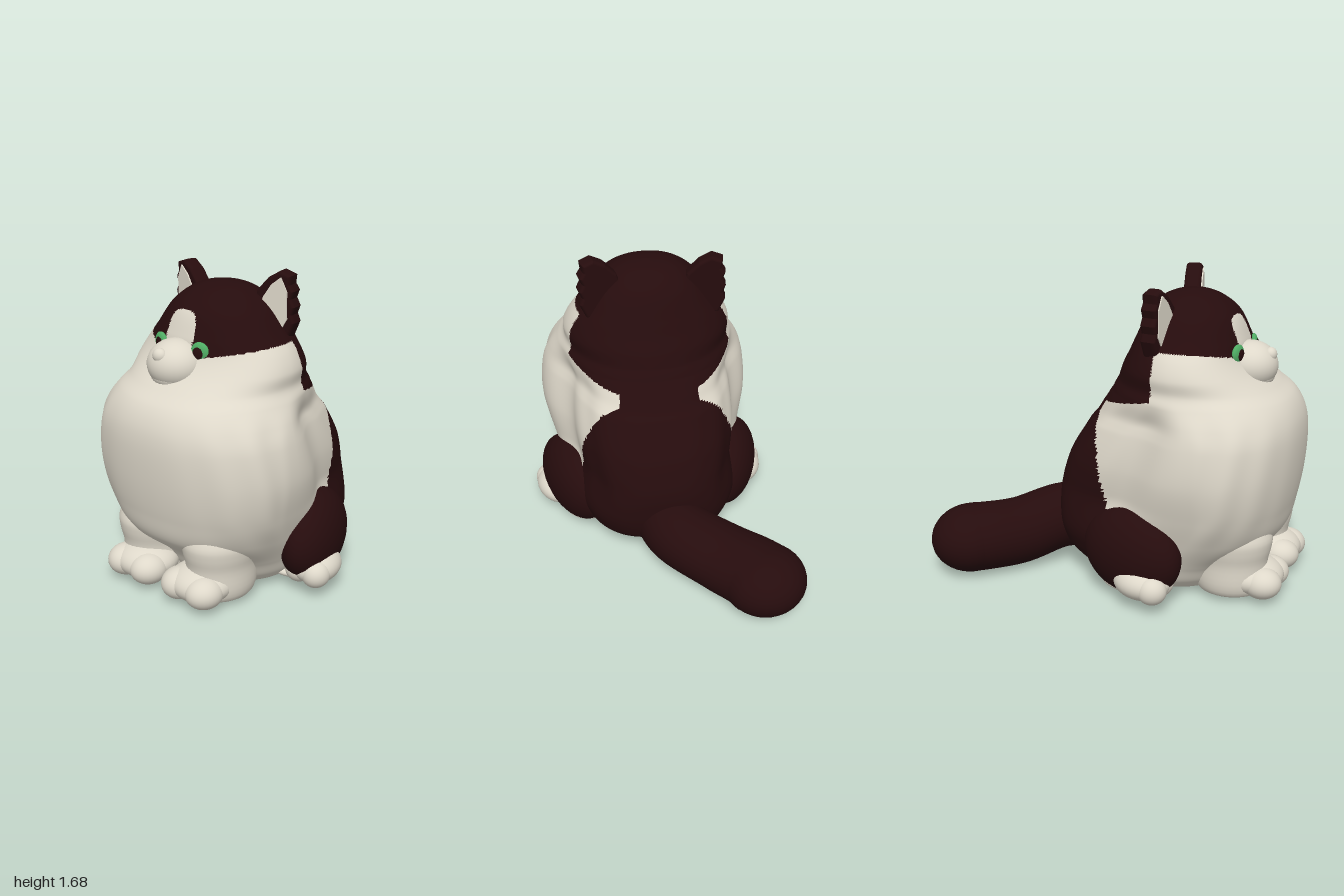
import * as THREE from 'three';

const { lerp, smoothstep } = THREE.MathUtils;
const mat = (name, color) => {
  const m = new THREE.MeshStandardMaterial({ color });
  m.name = name;
  return m;
};

// Closed-ring surface: point(u, angle) for u in 0..1; pick(centroid) chooses a material index.
function loft(point, nu, nv, pick = () => 0) {
  const pos = [], faces = [[], []], p = [];
  for (let i = 0; i <= nu; i++) {
    for (let j = 0; j < nv; j++) {
      const v = point(i / nu, (j / nv) * Math.PI * 2);
      p.push(v);
      pos.push(v.x, v.y, v.z);
    }
  }
  const add = (a, b, c) => {
    const mid = p[a].clone().add(p[b]).add(p[c]).divideScalar(3);
    faces[pick(mid)].push(a, b, c);
  };
  for (let i = 0; i < nu; i++) {
    for (let j = 0; j < nv; j++) {
      const k = (j + 1) % nv;
      const a = i * nv + j, b = i * nv + k, c = b + nv, d = a + nv;
      add(a, b, c);
      add(a, c, d);
    }
  }
  const g = new THREE.BufferGeometry();
  g.setAttribute('position', new THREE.Float32BufferAttribute(pos, 3));
  g.setIndex(faces[0].concat(faces[1]));
  g.addGroup(0, faces[0].length, 0);
  g.addGroup(faces[0].length, faces[1].length, 1);
  g.computeVertexNormals();
  return g;
}

// Body cross-sections: height, half width, front z, back z, z of widest point, back squareness
const SECTIONS = [
  [0.03, 0, 0.3, 0.29, 0.295, 2],
  [0.035, 0.34, 0.6, 0.0, 0.3, 2.2],
  [0.1, 0.42, 0.68, -0.22, 0.32, 2.5],
  [0.2, 0.46, 0.74, -0.33, 0.38, 2.8],
  [0.35, 0.52, 0.905, -0.36, 0.46, 2.9],
  [0.5, 0.57, 0.95, -0.36, 0.53, 2.9],
  [0.7, 0.605, 0.98, -0.3, 0.55, 2.8],
  [0.9, 0.585, 0.985, -0.18, 0.55, 2.7],
  [1.0, 0.55, 0.965, -0.11, 0.52, 2.4],
  [1.08, 0.505, 0.92, -0.06, 0.47, 2.1],
  [1.14, 0.47, 0.845, -0.03, 0.43, 2],
  [1.22, 0.47, 0.75, 0.0, 0.4, 2],
  [1.3, 0.435, 0.69, 0.04, 0.38, 2],
  [1.38, 0.375, 0.665, 0.075, 0.36, 2],
  [1.5, 0.285, 0.61, 0.13, 0.36, 2],
  [1.57, 0.2, 0.53, 0.19, 0.36, 2],
  [1.605, 0.12, 0.45, 0.26, 0.36, 2],
  [1.62, 0, 0.361, 0.359, 0.36, 2],
];
const curveA = new THREE.CatmullRomCurve3(SECTIONS.map((s) => new THREE.Vector3(s[0], s[1], s[2])));
const curveB = new THREE.CatmullRomCurve3(SECTIONS.map((s) => new THREE.Vector3(s[3], s[4], s[5])));

function bodyPoint(u, t) {
  const { x: y, y: width, z: front } = curveA.getPoint(u);
  const { x: back, y: middle, z: square } = curveB.getPoint(u);
  const s = Math.sin(t), c = Math.cos(t);
  const n = lerp(square, 2.2, smoothstep(c, -0.15, 0.15));
  const bulge = (v) => Math.sign(v) * Math.abs(v) ** (2 / n);
  // the ruff is fuller than the back, with shallow folds along the sides
  const coat = smoothstep(y, 0.25, 0.55) * (1 - smoothstep(y, 0.95, 1.12));
  const waist = 1 - 0.2 * coat * smoothstep(-c, 0, 0.38);
  const fold = 1 + 0.012 * coat * s * s * Math.sin(14 * Math.abs(Math.atan2(s, c)) + 5 * y);
  const depth = c > 0 ? front - middle : middle - back;
  return new THREE.Vector3(Math.max(width, 0) * bulge(s) * waist * fold, y, middle + depth * bulge(c) * fold);
}

// Coat pattern on the body: 1 is dark, 0 is white
function bodyPattern({ x, y, z }) {
  if (y > 1.0 && z > 0.28) {
    const blaze = ((x + 0.04) / 0.1) ** 4 + ((y - 1.3) / 0.2) ** 4 < 1;
    return y > 1.27 + 0.2 * Math.abs(x) && !blaze ? 1 : 0;
  }
  if (y > 1.03 + 0.25 * z) return 1;
  if (y > 0.9 && z < 0.1 && Math.abs(x) < 0.22) return 1;
  return y > 0.07 && z < -0.1 + (1 - y) * 0.25 ? 1 : 0;
}

export function createModel() {
  const white = mat('creamFur', 0xded8ca);
  const dark = mat('darkFur', 0x260c0d);
  const green = mat('greenIris', 0x4fac64);
  const cat = new THREE.Group();
  cat.name = 'cat';

  const add = (name, geometry, material, parent = cat) => {
    const m = new THREE.Mesh(geometry, material);
    m.name = name;
    parent.add(m);
    return m;
  };
  const group = (name) => {
    const g = new THREE.Group();
    g.name = name;
    cat.add(g);
    return g;
  };
  const ball = new THREE.SphereGeometry(1, 32, 24);
  const blob = (name, material, pos, size, parent, turn = 0) => {
    const m = add(name, ball, material, parent);
    m.position.set(...pos);
    m.scale.set(...size);
    m.rotation.y = turn;
    return m;
  };

  // Body and head in one smooth form
  add('body', loft(bodyPoint, 200, 180, bodyPattern), [white, dark]);

  // Muzzle, chin and nose
  blob('muzzle', white, [-0.035, 1.24, 0.69], [0.155, 0.13, 0.15]);
  blob('chin', white, [-0.035, 1.19, 0.7], [0.13, 0.08, 0.125]);
  blob('nose', white, [-0.04, 1.305, 0.8], [0.042, 0.038, 0.035]);

  // Eyes
  for (const [x, z, s] of [[-0.172, 0.66, -1], [0.112, 0.67, 1]]) {
    blob('iris', green, [x, 1.322, z], [0.052, 0.052, 0.022], cat, s * 0.25);
    blob('pupil', dark, [x, 1.32, z + 0.017], [0.03, 0.031, 0.01], cat, s * 0.25);
  }

  // Ears with pale insides, turned slightly outward
  const earOutline = [[-0.11, -0.02], [-0.075, 0.085], [-0.015, 0.15], [0.045, 0.185], [0.09, 0.17], [0.085, 0.13],
    [0.105, 0.1], [0.09, 0.06], [0.11, 0.02], [0.095, -0.02], [0.11, -0.06], [0.08, -0.13], [-0.02, -0.13]];
  const earInside = [[-0.08, -0.02], [-0.045, 0.065], [0.0, 0.13], [0.055, 0.172], [0.09, 0.1], [0.088, 0.02],
    [0.09, -0.04], [0.055, -0.1]];
  for (const s of [1, -1]) {
    const ear = group(s > 0 ? 'leftEar' : 'rightEar');
    ear.position.set(s > 0 ? 0.27 : -0.3, s > 0 ? 1.5 : 1.465, 0.275);
    ear.rotation.y = s * 0.2;
    const shape = (pts) => new THREE.Shape(pts.map(([x, y]) => new THREE.Vector2(x * s, y)));
    const shell = new THREE.ExtrudeGeometry(shape(earOutline), {
      depth: 0.045, bevelSize: 0.015, bevelThickness: 0.022, bevelSegments: 4,
    });
    add('earShell', shell.translate(0, 0, -0.022), dark, ear);
    const inside = new THREE.ExtrudeGeometry(shape(earInside), { depth: 0.008, bevelEnabled: false });
    add('earInside', inside.translate(0, 0, 0.044), white, ear);
  }

  // Front leg profile
  const legProfile = [[0, 0.04], [0.13, 0.04], [0.17, 0.1], [0.175, 0.22], [0.19, 0.3], [0.19, 0.37], [0.14, 0.45], [0, 0.48]];
  const legCurve = new THREE.SplineCurve(legProfile.map(([r, y]) => new THREE.Vector2(r, y)));
  const legPoints = legCurve.getPoints(28).map((v) => v.setX(Math.max(v.x, 0)));
  const legGeometry = new THREE.LatheGeometry(legPoints, 36);

  for (const s of [1, -1]) {
    const side = s > 0 ? 'left' : 'right';

    // Front leg, paw and toes
    const front = group(side + 'FrontLeg');
    const leg = add('leg', legGeometry, white, front);
    leg.position.set(s * 0.235, 0, 0.67);
    leg.scale.z = 1.15;
    blob('paw', white, [s * 0.205, 0.13, 0.79], [0.18, 0.1, 0.165], front);
    for (const dx of [-0.085, 0.085]) {
      blob('toe', white, [s * 0.205 + dx, 0.12, 0.86], [0.1, 0.085, 0.105], front);
    }

    // Hind leg: dark thigh, pale foot
    const hind = group(side + 'HindLeg');
    blob('thigh', dark, [s * 0.465, 0.27, 0.19], [0.165, 0.24, 0.31], hind, s * 0.35);
    blob('hindPaw', white, [s * 0.56, 0.15, 0.28], [0.13, 0.092, 0.16], hind, s * 0.3);
    for (const dx of [-0.06, 0.05]) {
      blob('hindToe', white, [s * 0.57 + dx, 0.14, 0.36], [0.075, 0.075, 0.08], hind);
    }
    blob('hindSole', white, [s * 0.4, 0.085, 0.2], [0.16, 0.05, 0.2], hind);
  }

  // Tail sweeping back to the right
  const tailPath = new THREE.CatmullRomCurve3([
    [0, 0.25, -0.2], [-0.07, 0.25, -0.38], [-0.28, 0.205, -0.57], [-0.41, 0.205, -0.7], [-0.465, 0.205, -0.775],
  ].map((p) => new THREE.Vector3(...p)));
  const up = new THREE.Vector3(0, 1, 0);
  const tail = loft((u, t) => {
    const across = new THREE.Vector3().crossVectors(up, tailPath.getTangent(u)).normalize();
    const r = 0.18 + 0.05 * u;
    return tailPath.getPoint(u).addScaledVector(across, r * Math.cos(t)).addScaledVector(up, 0.186 * Math.sin(t));
  }, 40, 40);
  add('tail', tail, [dark, dark]);
  blob('tailTip', dark, [-0.468, 0.205, -0.775], [0.232, 0.186, 0.222]);

  return cat;
}
